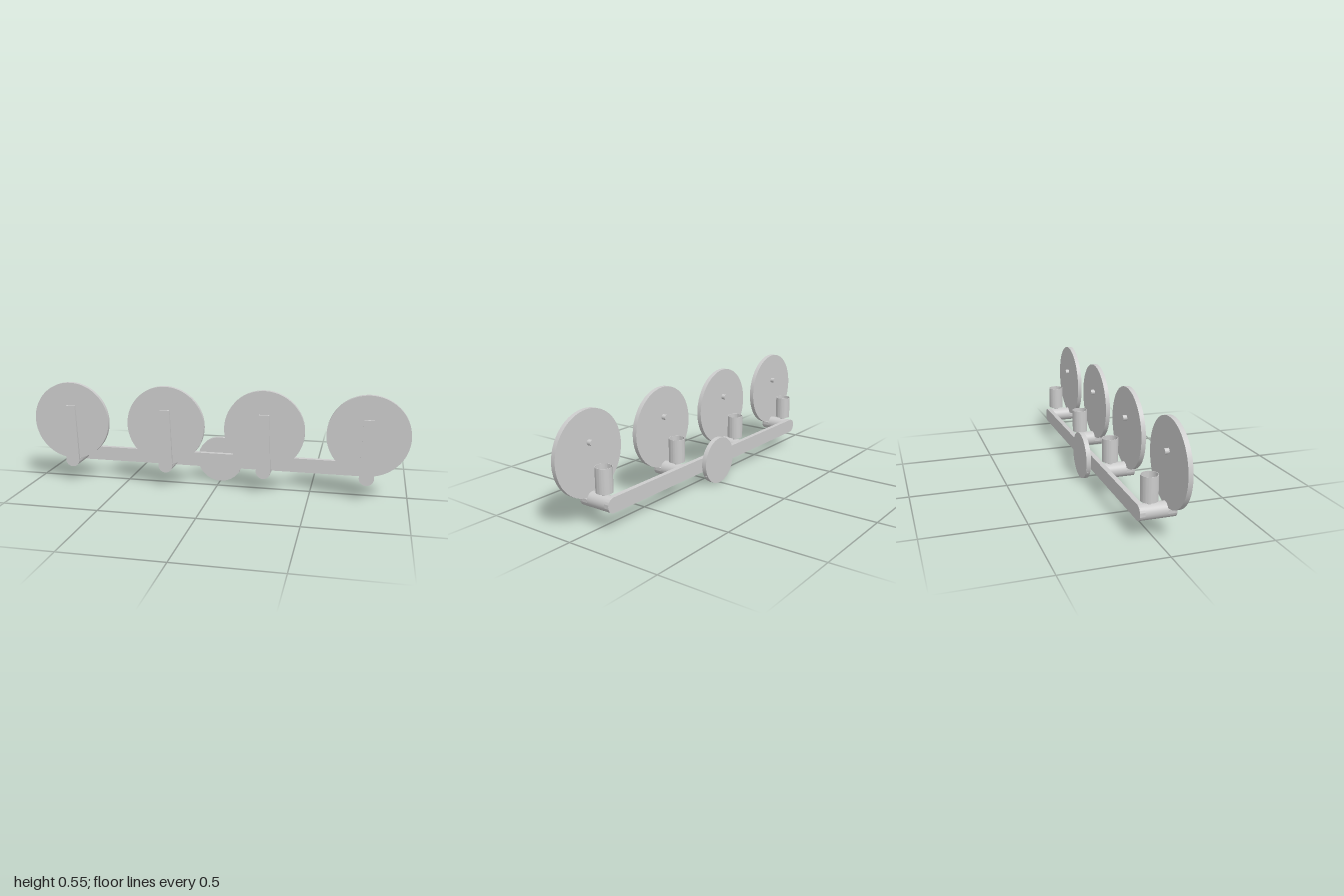
import * as THREE from 'three';
import { toCreasedNormals } from 'three/addons/utils/BufferGeometryUtils.js';

const metal = new THREE.MeshStandardMaterial({ color: 0xcccccc });
const AXIS_Y = 0.126; // height of the bar and arm axis
const R = 0.038; // arm radius, half the bar height

function add(parent, name, geometry, x, y, z) {
  const mesh = new THREE.Mesh(geometry, metal);
  mesh.name = name;
  mesh.position.set(x, y, z);
  parent.add(mesh);
  return mesh;
}

// Round part lying along z from z0 to z1
function disc(parent, name, r, y, z0, z1, segments = 64) {
  const geometry = new THREE.CylinderGeometry(r, r, z1 - z0, segments).rotateX(Math.PI / 2);
  return add(parent, name, geometry, 0, y, (z0 + z1) / 2);
}

// Flat outline around the arm axis, extruded from z0 to z1
function slab(parent, name, shape, z0, z1) {
  const geometry = new THREE.ExtrudeGeometry(shape, { depth: z1 - z0, bevelEnabled: false, curveSegments: 32 });
  return add(parent, name, toCreasedNormals(geometry, 0.5), 0, AXIS_Y, z0);
}

function createLamp(x) {
  const lamp = new THREE.Group();
  lamp.name = 'lamp';
  lamp.position.x = x;

  // Arm reaching forward, cut down in front to carry the shade
  disc(lamp, 'arm', R, AXIS_Y, -0.05, 0.058, 48);
  const cut = Math.asin(0.008 / R);
  const seat = new THREE.Shape();
  seat.absarc(0, 0, R, Math.PI - cut, 2 * Math.PI + cut, false);
  seat.closePath();
  slab(lamp, 'shadeSeat', seat, 0.058, 0.089);

  // Tapered strip with a round foot in front of the shade
  const strip = new THREE.Shape();
  strip.moveTo(0.026, 0.302);
  strip.lineTo(-0.026, 0.302);
  strip.lineTo(-R, 0);
  strip.absarc(0, 0, R, Math.PI, 2 * Math.PI, false);
  strip.closePath();
  slab(lamp, 'frontStrip', strip, 0.089, 0.102);

  // Round shade and its fixing knob
  disc(lamp, 'shadeDisc', 0.209, 0.343, 0.066, 0.089, 96);
  disc(lamp, 'shadeKnob', 0.014, 0.397, 0.045, 0.066, 24);

  // Open bulb cup on a short stem
  const cup = [[0, 0], [0.041, 0], [0.041, 0.122], [0.0385, 0.122], [0.0385, 0.004], [0, 0.004]]
    .map(([r, y]) => new THREE.Vector2(r, y));
  const cupGeometry = toCreasedNormals(new THREE.LatheGeometry(cup, 48), 0.5);
  add(lamp, 'bulbCup', cupGeometry, 0, 0.178, -0.019);
  add(lamp, 'cupStem', new THREE.CylinderGeometry(0.012, 0.012, 0.026, 24), 0, 0.171, -0.019);
  return lamp;
}

export function createModel() {
  const model = new THREE.Group();
  model.name = 'wallLight';

  // Wall plate with two small set screws in its rim
  disc(model, 'wallPlate', 0.124, AXIS_Y, -0.1, -0.075, 72);
  for (const side of [-1, 1]) {
    const screw = add(model, 'setScrew', new THREE.CylinderGeometry(0.005, 0.005, 0.006, 12),
      side * 0.105, 0.062, -0.0875);
    screw.rotation.z = side * 1.02;
  }

  // Crossbar with rounded ends
  const bar = new THREE.Shape();
  bar.absarc(0.79, 0, R, -Math.PI / 2, Math.PI / 2, false);
  bar.absarc(-0.79, 0, R, Math.PI / 2, Math.PI * 1.5, false);
  bar.closePath();
  slab(model, 'crossbar', bar, -0.075, -0.05);

  for (const x of [-0.79, -0.263, 0.263, 0.79]) model.add(createLamp(x));
  return model;
}
